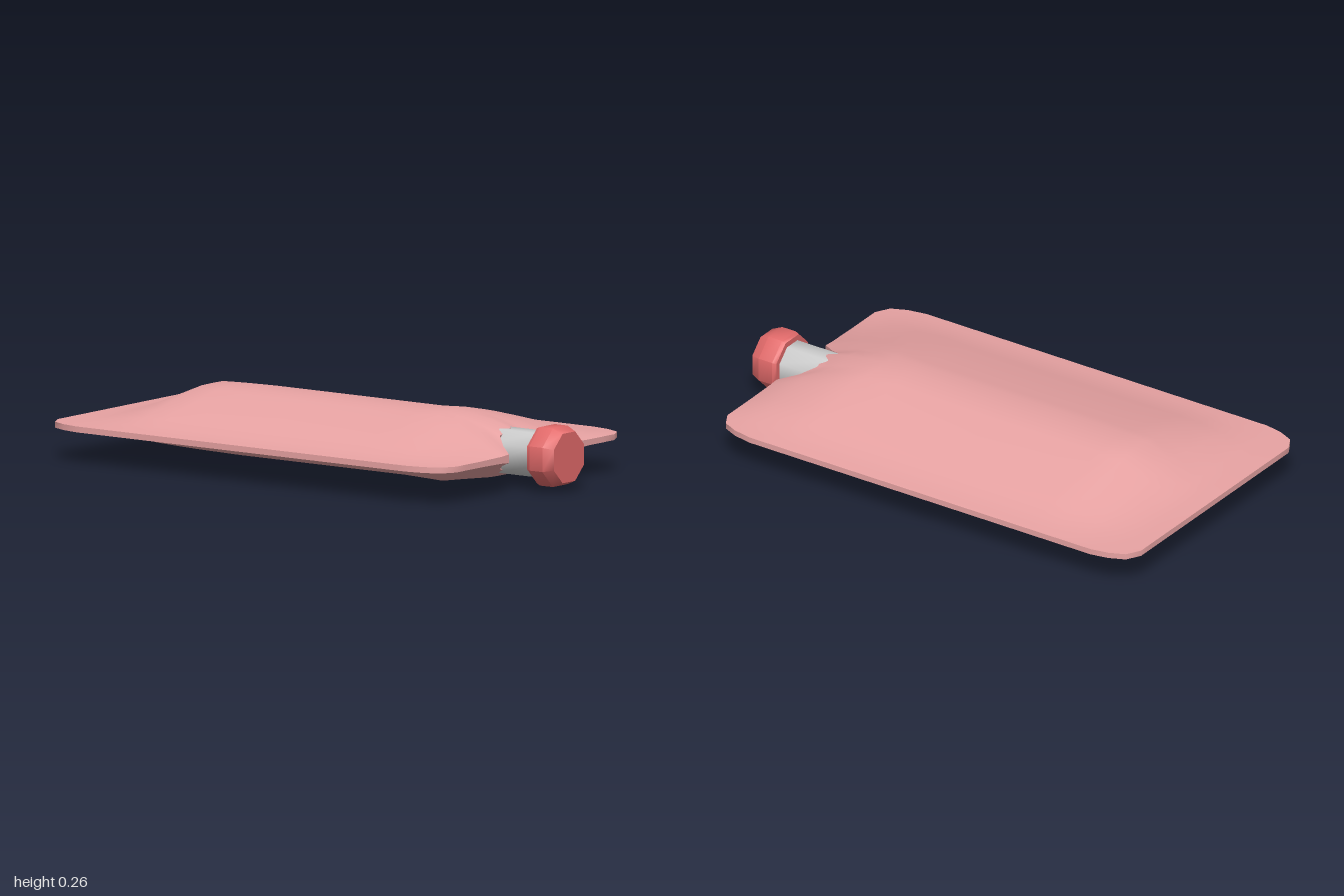
import * as THREE from 'three';
import { toCreasedNormals } from 'three/addons/utils/BufferGeometryUtils.js';

const MID = 0.132; // height of the seam plane
const RIM = 0.011; // half thickness of the seam

// columns: [x, half thickness, front edge z, back edge z, half thickness at the front edge]
const HALF = [
  [0, 0.131, 0.73, -1, 0.085],
  [0.065, 0.13, 0.73, -1, 0.062],
  [0.11, 0.121, 0.78, -1, 0.035],
  [0.16, 0.11, 0.845, -1, 0.016],
  [0.2, 0.101, 0.845, -1, 0.013],
  [0.33, 0.068, 0.845, -1, RIM],
  [0.41, 0.044, 0.845, -1, RIM],
  [0.48, 0.024, 0.845, -1, RIM],
  [0.535, 0.016, 0.815, -0.97, RIM],
  [0.562, 0.013, 0.755, -0.91, RIM],
  [0.576, RIM, 0.68, -0.84, RIM],
];
// rows: [z, fullness]
const ROWS = [
  [-1, 0], [-0.94, 0.04], [-0.87, 0.1], [-0.76, 0.52], [-0.65, 0.9], [-0.55, 0.93], [-0.43, 0.95],
  [-0.1, 0.95], [0.36, 0.95], [0.5, 1], [0.61, 0.8], [0.72, 0.52], [0.79, 0.25], [0.845, 0],
];

function bagGeometry() {
  const cols = [...HALF.slice(1).reverse().map(([x, ...r]) => [-x, ...r]), ...HALF];
  const nc = cols.length, nr = ROWS.length, n = nc * nr;
  const upper = [], lower = [], index = [];
  for (const [x, full, zf, zb, frontH] of cols) {
    for (const [rz, f] of ROWS) {
      // squeeze the end rows to follow the outline
      let z = rz;
      if (rz > 0.36) z = 0.36 + (rz - 0.36) * (zf - 0.36) / (0.845 - 0.36);
      if (rz < -0.43) z = -0.43 + (rz + 0.43) * (zb + 0.43) / (-1 + 0.43);
      const end = rz > 0.4 ? frontH : RIM;
      const h = end + (full - end) * f;
      upper.push(x, MID + h, z);
      lower.push(x, MID - h, z);
    }
  }
  const id = (i, j) => i * nr + j;
  for (let i = 0; i < nc - 1; i++) {
    for (let j = 0; j < nr - 1; j++) {
      const a = id(i, j), b = id(i, j + 1), c = id(i + 1, j + 1), d = id(i + 1, j);
      // mirrored diagonals keep both halves alike
      const tris = i < (nc - 1) / 2 ? [a, b, d, b, c, d] : [a, b, c, a, c, d];
      index.push(...tris, ...tris.map((v) => v + n).reverse());
    }
  }
  // seam wall around the outline
  const loop = [];
  for (let j = 0; j < nr - 1; j++) loop.push(id(0, j));
  for (let i = 0; i < nc - 1; i++) loop.push(id(i, nr - 1));
  for (let j = nr - 1; j > 0; j--) loop.push(id(nc - 1, j));
  for (let i = nc - 1; i > 0; i--) loop.push(id(i, 0));
  loop.forEach((p, k) => {
    const q = loop[(k + 1) % loop.length];
    index.push(p, p + n, q, q, p + n, q + n);
  });
  const g = new THREE.BufferGeometry();
  g.setAttribute('position', new THREE.Float32BufferAttribute([...upper, ...lower], 3));
  g.setIndex(index);
  return toCreasedNormals(g, 0.9);
}

// eight-sided turned part along z; profile is [distance to flat side, z]
function turned(profile) {
  const k = 1 / Math.cos(Math.PI / 8);
  const pts = profile.map(([r, z]) => new THREE.Vector2(r * k, z));
  const g = new THREE.LatheGeometry(pts, 8, Math.PI / 8);
  g.rotateX(Math.PI / 2).translate(0, MID, 0);
  return toCreasedNormals(g, 0.85);
}

export function createModel() {
  const group = new THREE.Group();
  const add = (name, geometry, color) => {
    const mesh = new THREE.Mesh(geometry, new THREE.MeshStandardMaterial({ color }));
    mesh.name = name;
    group.add(mesh);
  };
  add('bag', bagGeometry(), 0xe8a3a3);
  add('neck', turned([[0, 0.68], [0.082, 0.68], [0.082, 0.9], [0, 0.9]]), 0xcccccc);
  add('cap', turned([[0, 0.885], [0.103, 0.885], [0.109, 0.9], [0.109, 0.96], [0.092, 1], [0, 1]]), 0xe26a6a);
  return group;
}
